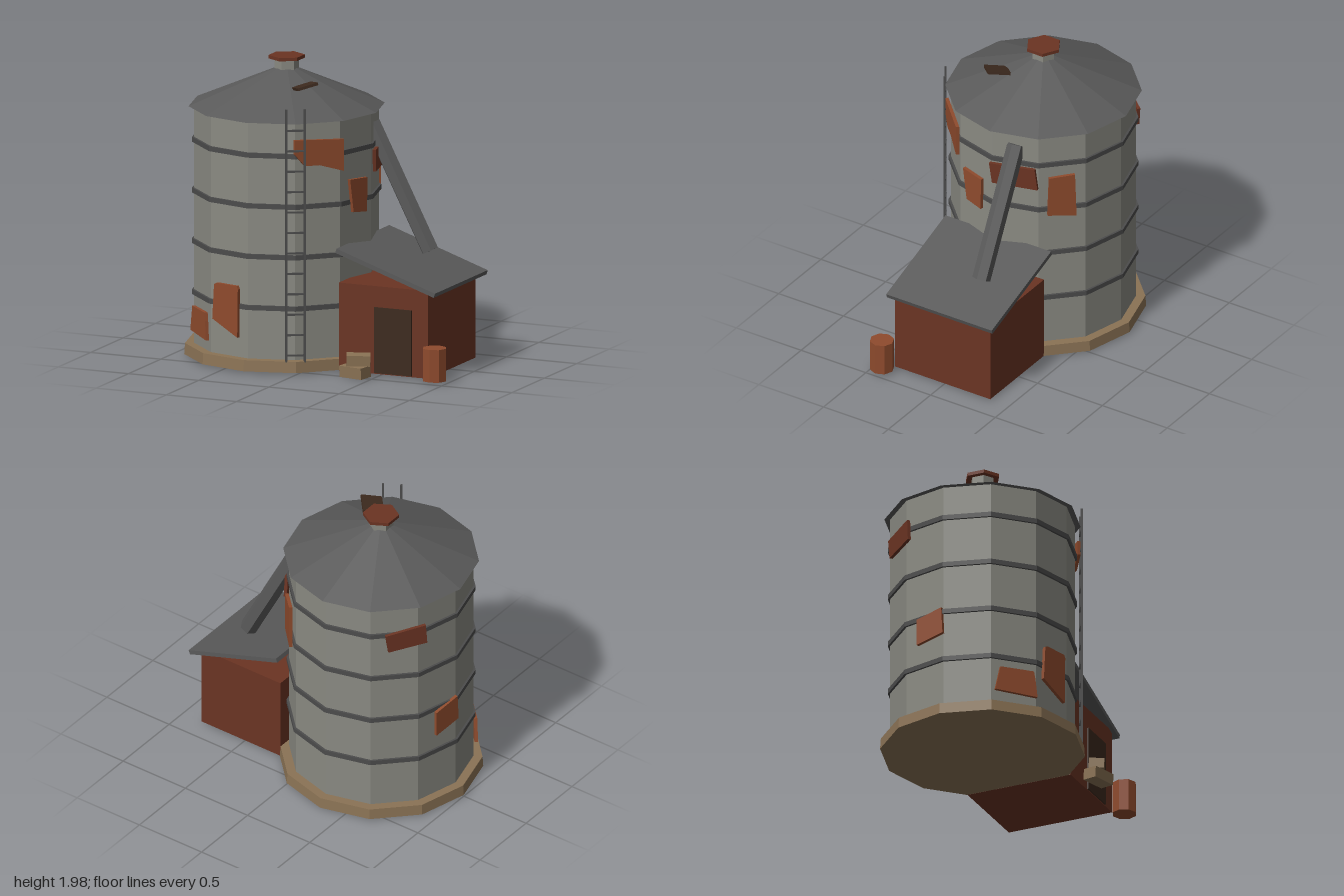
import * as THREE from 'three';

const mat = (color) => new THREE.MeshStandardMaterial({ color, flatShading: true });

export function createModel() {
  const model = new THREE.Group();
  const steel = mat(0x8a8a82), roofGrey = mat(0x5a5a5a), dark = mat(0x4c4c4c);
  const rust = mat(0x8f4b2d), oldRust = mat(0x6b3423), stone = mat(0x8b7355), doorBrown = mat(0x3d2a1e);
  const SIDES = 12;

  const add = (name, geometry, material, x, y, z, parent = model) => {
    const mesh = new THREE.Mesh(geometry, material);
    mesh.name = name;
    mesh.position.set(x, y, z);
    parent.add(mesh);
    return mesh;
  };
  const box = (w, h, d) => new THREE.BoxGeometry(w, h, d);
  const drum = (top, bottom, h, sides = SIDES) => new THREE.CylinderGeometry(top, bottom, h, sides);

  // Silo: foundation, body, hoops, conical roof and vent
  const silo = new THREE.Group();
  silo.name = 'silo';
  silo.position.x = -0.335;
  model.add(silo);
  add('foundation', drum(0.66, 0.665, 0.073), stone, 0, 0.05, 0, silo);
  add('siloBody', drum(0.6, 0.6, 1.57), steel, 0, 0.865, 0, silo);
  for (const y of [0.425, 0.763, 1.097, 1.432]) add('hoop', drum(0.615, 0.615, 0.032), dark, 0, y, 0, silo);
  add('siloRoof', drum(0.07, 0.637, 0.245), roofGrey, 0, 1.773, 0, silo);
  add('ventNeck', drum(0.08, 0.08, 0.09, 6), steel, 0, 1.92, 0, silo);
  add('ventLid', drum(0.118, 0.118, 0.022, 6), oldRust, 0, 1.968, 0, silo);

  // Rusty sheets on the wall: facing angle, height, corner points (clockwise from top left)
  const patches = [
    [-15, 0.40, rust, [[-0.1, 0.15], [-0.08, 0.16], [0.09, 0.16], [0.1, 0.14], [0.095, -0.18], [-0.115, -0.08]]],
    [-45, 0.25, rust, [[-0.1, 0.095], [0.13, 0.095], [0.14, 0.04], [0.155, -0.085], [-0.135, -0.07]]],
    [45, 1.43, rust, [[-0.17, 0.115], [0.17, 0.1], [0.17, -0.11], [0, -0.06], [-0.1, -0.06], [-0.17, 0.02]]],
    [75, 1.13, rust, [[-0.095, 0.12], [0.08, 0.11], [0.075, -0.115], [-0.06, -0.1]]],
    [105, 1.335, oldRust, [[-0.17, 0.07], [0.14, 0.075], [0.16, -0.075], [-0.15, -0.075]]],
    [135, 1.195, rust, [[-0.09, 0.145], [0.08, 0.155], [0.09, -0.155], [-0.1, -0.135]]],
    [232, 1.40, oldRust, [[-0.14, 0.05], [0.13, 0.09], [0.14, -0.05], [-0.12, -0.08]]],
    [261, 0.68, rust, [[-0.1, 0.07], [0.09, 0.11], [0.1, -0.07], [-0.1, -0.11]]],
  ];
  for (const [deg, y, material, corners] of patches) {
    const shape = new THREE.Shape(corners.map(([u, v]) => new THREE.Vector2(u, v)));
    const geometry = new THREE.ExtrudeGeometry(shape, { depth: 0.022, bevelEnabled: false });
    geometry.translate(0, 0, 0.592);
    add('rustPatch', geometry, material, 0, y, 0, silo).rotation.y = THREE.MathUtils.degToRad(deg);
  }

  // Loose sheet lying on the roof
  const scrap = add('roofScrap', box(0.14, 0.018, 0.15), doorBrown, -0.11, 1.83, 0.21);
  scrap.rotation.set(0.05, 0.75, 0.3, 'ZYX');

  // Ladder beside the wall
  const ladder = new THREE.Group();
  ladder.name = 'ladder';
  ladder.rotation.y = Math.PI / 6;
  silo.add(ladder);
  for (const side of [-1, 1]) add('ladderRail', box(0.014, 1.67, 0.014), dark, side * 0.06, 0.915, 0.638, ladder);
  for (let i = 0; i < 12; i++) add('ladderRung', box(0.12, 0.012, 0.012), dark, 0, 0.125 + i * 0.135, 0.638, ladder);

  // Chute running from the silo down to the shed roof
  const start = new THREE.Vector3(0.205, 1.55, -0.145), end = new THREE.Vector3(0.622, 0.74, -0.145);
  const run = end.clone().sub(start);
  const chuteShape = drum(0.06, 0.06, run.length(), 6);
  chuteShape.rotateY(Math.PI / 2);
  const chute = add('chute', chuteShape, roofGrey, 0, 0, 0);
  chute.position.copy(start).add(end).multiplyScalar(0.5);
  chute.quaternion.setFromUnitVectors(new THREE.Vector3(0, 1, 0), run.normalize());

  // Lean-to shed
  const shed = new THREE.Group();
  shed.name = 'shed';
  model.add(shed);
  add('shedWalls', box(0.635, 0.58, 0.735), oldRust, 0.527, 0.303, 0.008, shed);
  add('shedDoor', box(0.265, 0.435, 0.02), doorBrown, 0.597, 0.237, 0.375, shed);
  add('shedRoof', box(0.74, 0.03, 0.815), roofGrey, 0.552, 0.69, -0.004, shed).rotation.z = -0.325;

  // Barrel and stone blocks on the ground
  add('barrel', drum(0.08, 0.08, 0.215, 8), rust, 0.917, 0.127, 0.43);
  const lower = add('stoneBlock', box(0.18, 0.075, 0.1), stone, 0.38, 0.045, 0.495);
  lower.rotation.set(0.05, -0.25, 0.03);
  const upper = add('stoneBlock', box(0.155, 0.07, 0.1), stone, 0.395, 0.12, 0.475);
  upper.rotation.set(0.04, 0.42, -0.04);

  return model;
}
